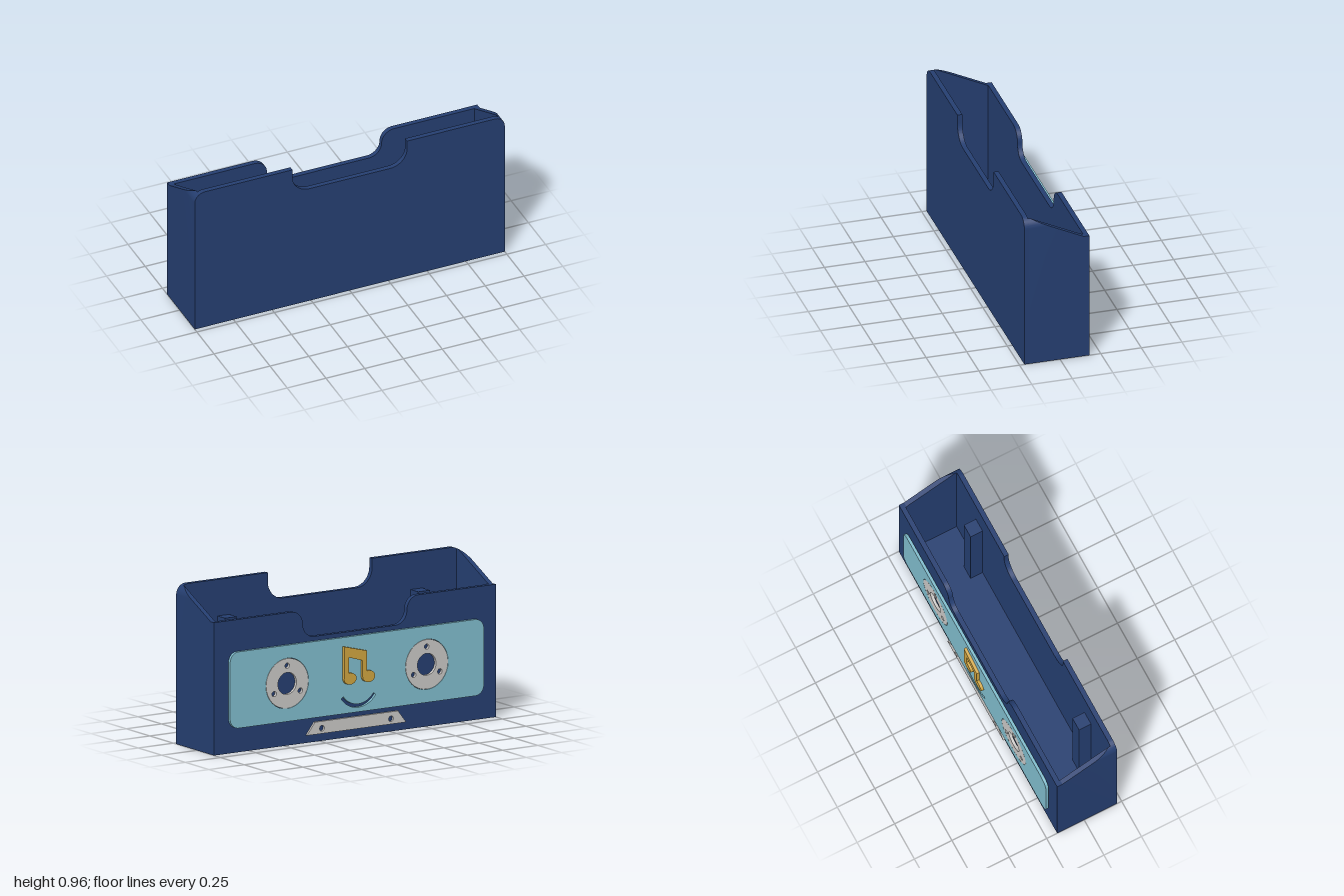
import * as THREE from 'three';
import { toCreasedNormals } from 'three/addons/utils/BufferGeometryUtils.js';

const mat = (name, color) => {
  const m = new THREE.MeshStandardMaterial({ color });
  m.name = name;
  return m;
};
const PI = Math.PI;

export function createModel() {
  const navy = mat('navy', 0x253e70);
  const teal = mat('pale teal', 0x80bccd);
  const grey = mat('light grey', 0xcac8c6);
  const gold = mat('gold', 0xd0a540);

  const model = new THREE.Group();
  const add = (parent, name, geo, material) => {
    const m = new THREE.Mesh(geo, material);
    m.name = name;
    parent.add(m);
    return m;
  };
  const extrude = (shape, z, depth) => {
    const g = new THREE.ExtrudeGeometry(shape, { depth, bevelEnabled: false, curveSegments: 16 });
    g.translate(0, 0, z);
    return toCreasedNormals(g, 0.5);
  };
  const box = (x0, x1, y0, y1, z0, z1) =>
    new THREE.BoxGeometry(x1 - x0, y1 - y0, z1 - z0)
      .translate((x0 + x1) / 2, (y0 + y1) / 2, (z0 + z1) / 2);
  const circle = (x, y, r) => new THREE.Path().absarc(x, y, r, 0, PI * 2, true);

  // Wall outline with a finger notch; corner, lip and foot are radii
  const wallShape = (top, corner, lip, foot, bottom) => {
    const s = new THREE.Shape();
    const n = 0.37;
    s.moveTo(-1, 0);
    s.lineTo(1, 0);
    if (corner) s.absarc(1 - corner, top - corner, corner, 0, PI / 2, false);
    else s.lineTo(1, top);
    if (lip) s.absarc(n + lip, top - lip, lip, PI / 2, PI, false);
    else s.lineTo(n, top);
    s.absarc(n - foot, bottom + foot, foot, 0, -PI / 2, true);
    s.absarc(foot - n, bottom + foot, foot, -PI / 2, -PI, true);
    if (lip) s.absarc(-n - lip, top - lip, lip, 0, PI / 2, false);
    else s.lineTo(-n, top);
    if (corner) s.absarc(corner - 1, top - corner, corner, PI / 2, PI, false);
    else s.lineTo(-1, top);
    s.closePath();
    return s;
  };

  // Front and back walls, floor
  const R = 0.065, TOP = 0.965;
  add(model, 'frontWall', extrude(wallShape(TOP, R, 0, 0.11, 0.8), 0.19, 0.03), navy);
  add(model, 'backWall', extrude(wallShape(0.8, 0, 0.08, 0.084, 0.635), -0.18, 0.03), navy);
  add(model, 'floor', box(-0.97, 0.97, 0, 0.03, -0.15, 0.19), navy);

  // Sloping side walls, whose top follows the rounded front corner
  const sideWall = (side) => {
    const pos = [], idx = [], steps = 10, n = 6;
    const tri = (a, b, c) => (side > 0 ? idx.push(a, b, c) : idx.push(a, c, b));
    const a0 = Math.acos((0.97 - (1 - R)) / R);
    for (let i = 0; i <= steps; i++) {
      const a = a0 * (1 - i / steps);
      const x = 1 - R + R * Math.cos(a), y = TOP - R + R * Math.sin(a);
      const zc = -0.145 + (y - 0.8) / 0.484;
      const section = [[-0.15, 0], [0.19, 0], [0.19, y], [zc, y], [-0.145, 0.8], [-0.15, 0.8]];
      for (const [z, h] of section) pos.push(side * x, h, z);
    }
    for (let i = 0; i < steps; i++) {
      for (let j = 0; j < n; j++) {
        const a = i * n + j, b = i * n + (j + 1) % n;
        tri(a, a + n, b);
        tri(b, a + n, b + n);
      }
    }
    const e = steps * n;
    for (const [p, q] of [[2, 3], [3, 4], [4, 5], [5, 0]]) {
      tri(1, p, q);
      tri(e + 1, e + q, e + p);
    }
    const g = new THREE.BufferGeometry();
    g.setAttribute('position', new THREE.Float32BufferAttribute(pos, 3));
    g.setIndex(idx);
    return toCreasedNormals(g, 0.4);
  };
  for (const [side, name] of [[1, 'left'], [-1, 'right']]) {
    add(model, name + 'SideWall', sideWall(side), navy);
    // Inner support post
    const post = add(model, name + 'Post', box(-0.042, 0.042, 0.03, 0.745, 0.11, 0.19), navy);
    post.position.x = side * 0.685;
  }

  // Decoration on the back, drawn as seen from behind
  const back = new THREE.Group();
  back.name = 'backDecoration';
  back.rotation.y = PI;
  model.add(back);
  const Z = 0.185, D = 0.018, CX = 0.495, CY = 0.38;

  // Rounded label panel with reel openings and a curved slot
  const panel = new THREE.Shape();
  const r = 0.06, w = 0.9 - r, lo = 0.15 + r, hi = 0.61 - r;
  panel.absarc(w, lo, r, -PI / 2, 0, false);
  panel.absarc(w, hi, r, 0, PI / 2, false);
  panel.absarc(-w, hi, r, PI / 2, PI, false);
  panel.absarc(-w, lo, r, PI, PI * 1.5, false);
  panel.closePath();
  const slot = new THREE.Path();
  slot.absarc(0.01, 0.328, 0.15, -PI / 2 - 0.96, -PI / 2 + 0.96, false);
  slot.absarc(0.01, 0.328, 0.13, -PI / 2 + 0.96, -PI / 2 - 0.96, true);
  slot.closePath();
  panel.holes.push(slot, circle(CX, CY, 0.152), circle(-CX, CY, 0.152));
  add(back, 'labelPanel', extrude(panel, Z, D), teal);

  // Reel rings with three small holes
  for (const s of [-1, 1]) {
    const ring = new THREE.Shape().absarc(0, 0, 0.15, 0, PI * 2, false);
    ring.holes.push(circle(0, 0, 0.066));
    for (let i = 0; i < 3; i++) {
      const a = PI / 2 + i * PI * 2 / 3;
      ring.holes.push(circle(0.107 * Math.cos(a), 0.107 * Math.sin(a), 0.016));
    }
    add(back, 'reelRing', extrude(ring, Z, D), grey).position.set(s * CX, CY, 0);
  }

  // Music note: beam with two stems, and two oval heads
  const note = new THREE.Group();
  note.name = 'musicNote';
  back.add(note);
  const frame = new THREE.Shape([
    [-0.102, 0.36], [-0.07, 0.36], [-0.07, 0.49], [0.028, 0.46], [0.028, 0.36],
    [0.06, 0.36], [0.06, 0.516], [-0.102, 0.558],
  ].map(([x, y]) => new THREE.Vector2(x, y)));
  add(note, 'noteStems', extrude(frame, Z + D, D), gold);
  for (const x of [-0.059, 0.073]) {
    const head = new THREE.Shape().absellipse(x, 0.36, 0.044, 0.035, 0, PI * 2, false, 0);
    add(note, 'noteHead', extrude(head, Z + D, D - 0.0005), gold);
  }

  // Tapered plate with two screw holes
  const plate = new THREE.Shape([[-0.352, 0.048], [0.352, 0.048], [0.295, 0.122], [-0.295, 0.122]]
    .map(([x, y]) => new THREE.Vector2(x, y)));
  plate.holes.push(circle(-0.245, 0.08, 0.017), circle(0.245, 0.08, 0.017));
  add(back, 'lowerPlate', extrude(plate, Z, 0.013), grey);

  return model;
}
